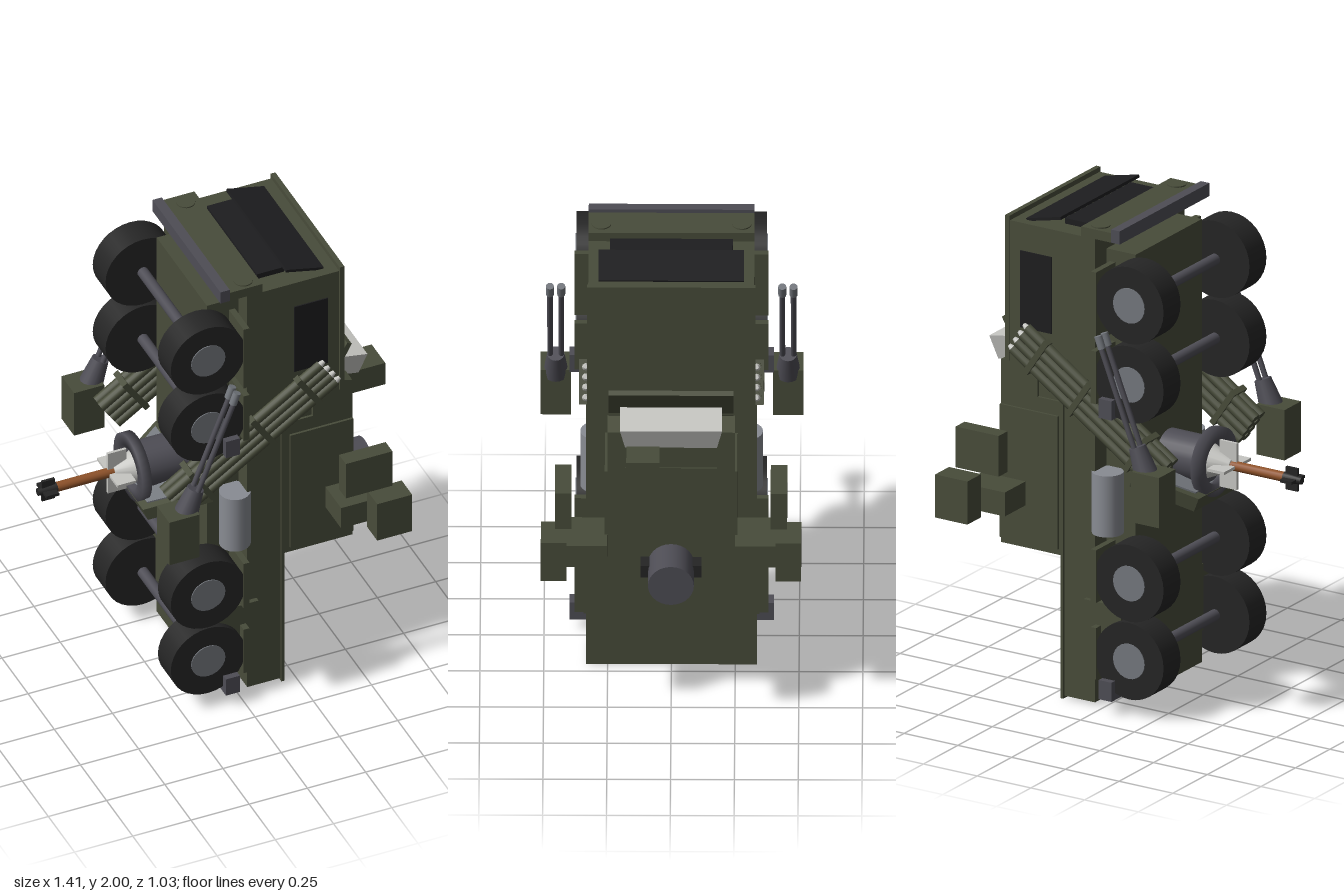
import * as THREE from 'three';

// The truck stands on its tail: +y is its nose, +x is its roof side, z runs across it.
const mat = (name, color) => {
  const m = new THREE.MeshStandardMaterial({ color });
  m.name = name;
  return m;
};

export function createModel() {
  const root = new THREE.Group();
  root.name = 'armouredTruck';

  const green = mat('olive green', 0x484c3a);
  const black = mat('glass black', 0x1d1d1f);
  const rubber = mat('tyre rubber', 0x252525);
  const steel = mat('dark steel', 0x4e4d55);
  const grey = mat('mid grey', 0x73777d);
  const silver = mat('light grey', 0x898c93);
  const white = mat('off white', 0xc6c6c2);
  const copper = mat('copper brown', 0x8f5229);

  const add = (name, geo, m, parent = root) => {
    const mesh = new THREE.Mesh(geo, m);
    mesh.name = name;
    parent.add(mesh);
    return mesh;
  };
  // Box from its limits along each axis
  const box = (name, m, x0, x1, y0, y1, z0, z1, parent) => {
    const b = add(name, new THREE.BoxGeometry(x1 - x0, y1 - y0, Math.abs(z1 - z0)), m, parent);
    b.position.set((x0 + x1) / 2, (y0 + y1) / 2, (z0 + z1) / 2);
    return b;
  };
  // Cylinder between two points
  const rod = (name, m, a, b, r, r2 = r, seg = 20, parent) => {
    const p = new THREE.Vector3(...a), q = new THREE.Vector3(...b);
    const c = add(name, new THREE.CylinderGeometry(r2, r, p.distanceTo(q), seg), m, parent);
    c.position.copy(p).add(q).multiplyScalar(0.5);
    c.quaternion.setFromUnitVectors(new THREE.Vector3(0, 1, 0), q.sub(p).normalize());
    return c;
  };
  // Plate lying along a sloping line in the xy plane
  const slab = (name, m, a, b, thick, width, z = 0) => {
    const dx = b[0] - a[0], dy = b[1] - a[1];
    const s = add(name, new THREE.BoxGeometry(Math.hypot(dx, dy), thick, width), m);
    s.position.set((a[0] + b[0]) / 2, (a[1] + b[1]) / 2, z);
    s.rotation.z = Math.atan2(dy, dx);
    return s;
  };

  // Chassis and cab
  box('chassisBeam', green, -0.09, 0.045, 0.03, 1.88, -0.24, 0.24);
  box('hull', green, 0.045, 0.187, 0.01, 1.945, -0.325, 0.325);
  box('deck', green, 0.187, 0.2, 0, 1.37, -0.335, 0.335);
  box('cab', green, 0.187, 0.44, 1.36, 1.945, -0.325, 0.325);
  box('cabRoof', green, 0.44, 0.46, 1.36, 1.965, -0.33, 0.33);
  box('noseBumper', green, -0.03, 0.11, 1.945, 1.985, -0.325, 0.325);
  box('bumperBar', steel, -0.07, -0.03, 1.945, 2, -0.325, 0.325);
  box('lowerWindscreen', black, 0.125, 0.24, 1.945, 1.968, -0.24, 0.24);
  slab('upperWindscreen', black, [0.23, 1.982], [0.39, 1.945], 0.012, 0.57);

  // Turret
  rod('turretRing', steel, [0.2, 0.91, 0], [0.235, 0.91, 0], 0.195, 0.195, 32);
  const profile = new THREE.Shape([[0.225, 0.56], [0.53, 0.56], [0.53, 1.325], [0.45, 1.35],
    [0.36, 1.35], [0.36, 1.2], [0.225, 1.2]].map(p => new THREE.Vector2(...p)));
  const turretGeo = new THREE.ExtrudeGeometry(profile, { depth: 0.5, bevelEnabled: false });
  add('turret', turretGeo.translate(0, 0, -0.25), green);
  box('turretNeck', green, 0.2, 0.365, 1.19, 1.31, -0.24, 0.24);
  box('turretTopPlate', green, 0.53, 0.536, 0.565, 1.16, -0.18, 0.18);
  slab('deflectorPlate', green, [0.44, 1.355], [0.52, 1.505], 0.022, 0.49);
  box('sightBox', green, 0.53, 0.705, 1.195, 1.3, 0.045, 0.175);

  // Tapered lamp housing
  const lampGeo = new THREE.BoxGeometry(0.17, 0.1, 0.4);
  const lp = lampGeo.attributes.position;
  for (let i = 0; i < lp.count; i++) {
    if (lp.getY(i) < 0) lp.setXYZ(i, lp.getX(i) * 0.86, lp.getY(i), lp.getZ(i) * 0.9);
  }
  lampGeo.computeVertexNormals();
  const lamp = add('lampHousing', lampGeo, white);
  lamp.position.set(0.525, 1.355, 0);
  lamp.rotation.z = -0.17;

  // Drum on the turret roof
  rod('turretDrum', steel, [0.53, 0.71, 0], [0.695, 0.71, 0], 0.09, 0.09, 28);
  box('drumLugs', rubber, 0.53, 0.6, 0.685, 0.74, -0.12, 0.12);

  // Belly panel: trapezoid frame with a grey inset
  const trapezoid = (w0, w1, l0, l1, d) => {
    const s = new THREE.Shape([[l0, -w0], [l1, -w1], [l1, w1], [l0, w0]].map(p => new THREE.Vector2(...p)));
    return new THREE.ExtrudeGeometry(s, { depth: d, bevelEnabled: false }).rotateX(-Math.PI / 2);
  };
  const belly = new THREE.Group();
  belly.name = 'bellyPanel';
  add('bellyFrame', trapezoid(0.145, 0.25, 0, 0.25, 0.06), green, belly);
  add('bellyInset', trapezoid(0.125, 0.22, 0.03, 0.235, 0.007), grey, belly).position.y = 0.06;
  belly.position.set(-0.3, 0.82, 0);
  belly.rotation.z = 0.37;
  root.add(belly);

  // Fan ring and long dart on the belly
  const ring = add('fanRing', new THREE.LatheGeometry([[0.09, -0.02], [0.14, -0.02], [0.14, 0.02],
    [0.09, 0.02], [0.09, -0.02]].map(p => new THREE.Vector2(...p)), 32), steel);
  ring.material.side = THREE.DoubleSide;
  ring.rotation.z = Math.PI / 2;
  ring.position.set(-0.3, 0.985, 0);
  rod('fanBack', steel, [-0.285, 0.985, 0], [-0.09, 0.985, 0], 0.095, 0.095, 24);
  rod('dartCone', white, [-0.285, 0.985, 0], [-0.385, 0.985, 0], 0.07, 0.025);
  rod('dartShaft', copper, [-0.37, 0.985, 0], [-0.65, 0.985, 0], 0.02, 0.02, 16);
  rod('dartTip', rubber, [-0.63, 0.985, 0], [-0.71, 0.985, 0], 0.023, 0.015, 16);
  for (const a of [0, Math.PI / 2]) {
    const fin = add('whiteFin', new THREE.BoxGeometry(0.08, 0.195, 0.012), white);
    fin.position.set(-0.37, 0.985, 0);
    fin.rotation.x = a;
    const tail = add('tailFin', new THREE.BoxGeometry(0.055, 0.095, 0.012), rubber);
    tail.position.set(-0.665, 0.985, 0);
    tail.rotation.x = a;
  }

  // Wheels and axles
  const wheelY = [0.235, 0.56, 1.39, 1.72];
  for (const y of wheelY) rod('axle', steel, [-0.145, y, -0.27], [-0.145, y, 0.27], 0.023);

  // Parts mirrored on both sides
  for (const s of [1, -1]) {
    for (const y of wheelY) {
      rod('tyre', rubber, [-0.145, y, 0.25 * s], [-0.145, y, 0.373 * s], 0.16, 0.16, 32);
      rod('hub', grey, [-0.145, y, 0.36 * s], [-0.145, y, 0.377 * s], 0.073, 0.073, 24);
    }
    for (const [a, b] of [[0.13, 0.345], [0.45, 0.67], [1.28, 1.5], [1.54, 1.83]]) {
      box('fender', green, 0.005, 0.03, a, b, 0.24 * s, 0.38 * s);
    }
    box('sideLocker', green, -0.09, 0.085, 0.16, 0.44, 0.23 * s, 0.345 * s);
    for (const y of [0.06, 1.235]) box('step', steel, -0.08, -0.02, y, y + 0.08, 0.33 * s, 0.4 * s);
    rod('airTank', silver, [0.005, 0.72, 0.295 * s], [0.005, 0.975, 0.295 * s], 0.063, 0.063, 24);
    box('doorWindow', black, 0.245, 0.39, 1.51, 1.83, 0.323 * s, 0.33 * s);
    rod('headlamp', green, [0.05, 1.98, 0.275 * s], [0.05, 1.99, 0.275 * s], 0.038);
    box('turretSidePanel', green, 0.26, 0.53, 0.585, 1.14, 0.25 * s, 0.26 * s);

    // Boxes beside the turret
    box('turretArm', green, 0.41, 0.61, 0.74, 0.84, 0.25 * s, 0.41 * s);
    box('upperPod', green, 0.41, 0.61, 0.92, 1.09, 0.39 * s, 0.455 * s);
    box('lowerPod', green, 0.52, 0.67, 0.715, 0.895, 0.41 * s, 0.51 * s);

    // Twin gun
    const z = 0.455 * s;
    box('gunMount', green, -0.375, -0.245, 0.88, 1.09, 0.395 * s, 0.515 * s);
    rod('gunBase', steel, [-0.28, 1.06, z], [-0.235, 1.175, z], 0.05, 0.034);
    for (const dz of [-0.022, 0.022]) {
      rod('gunBarrel', steel, [-0.24, 1.16, z + dz], [-0.07, 1.59, z + dz], 0.011, 0.011, 12);
      rod('muzzle', grey, [-0.085, 1.56, z + dz], [-0.067, 1.61, z + dz], 0.016, 0.016, 12);
    }

    // Slanted bundle of launch tubes
    const rack = new THREE.Group();
    rack.name = 'tubeRack';
    for (const dz of [0.295, 0.335]) {
      for (let i = 0; i < 4; i++) {
        const o = (i - 1.5) * 0.04;
        rod('launchTube', green, [-0.4, o, dz * s], [0.395, o, dz * s], 0.0205, 0.0205, 14, rack);
        rod('tubeTip', white, [0.39, o, dz * s], [0.415, o, dz * s], 0.016, 0.008, 12, rack);
      }
    }
    for (const x of [-0.27, 0.05, 0.29]) {
      box('rackBand', green, x - 0.012, x + 0.012, -0.088, 0.088, 0.27 * s, 0.362 * s, rack);
    }
    rack.position.set(0.06, 1.245, 0);
    rack.rotation.z = 0.594;
    root.add(rack);
  }
  return root;
}
